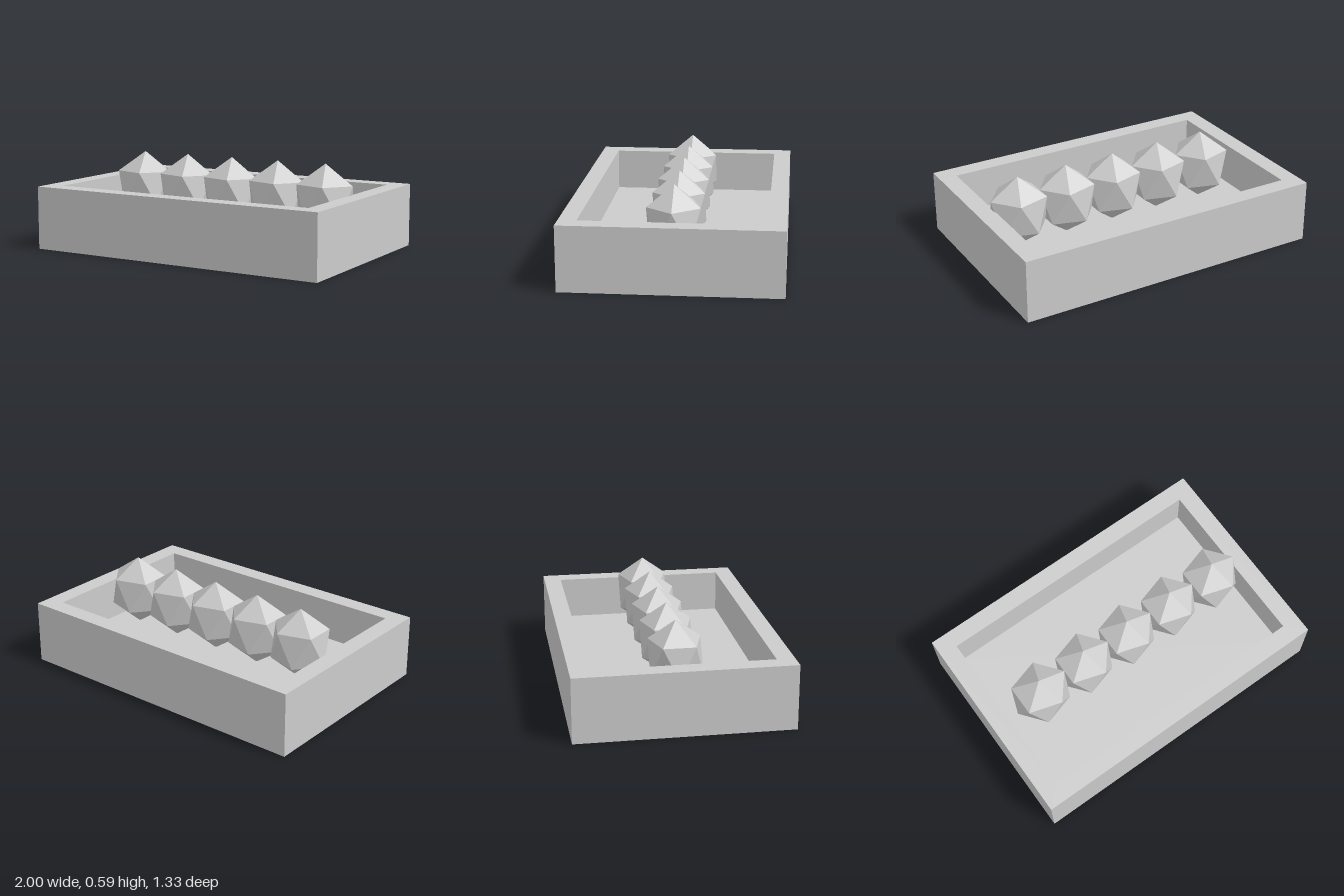
import * as THREE from 'three';

const material = new THREE.MeshStandardMaterial({ color: 0xcccccc, flatShading: true });

// Open box whose skin runs through rectangular rings [halfX, halfZ, y]: outside, rim, inside
function trayGeometry() {
  const rings = [
    [1, 0.667, 0],
    [1, 0.667, 0.405],
    [0.885, 0.555, 0.405],
    [0.885, 0.555, 0.135],
  ].map(([x, z, y]) => [[x, y, z], [x, y, -z], [-x, y, -z], [-x, y, z]]);

  const positions = [];
  const quad = (a, b, c, d) => positions.push(...a, ...b, ...c, ...a, ...c, ...d);

  for (let r = 0; r < rings.length - 1; r++) {
    for (let i = 0; i < 4; i++) {
      const j = (i + 1) % 4;
      quad(rings[r][i], rings[r][j], rings[r + 1][j], rings[r + 1][i]);
    }
  }
  quad(...[...rings[0]].reverse()); // underside
  quad(...rings[rings.length - 1]); // inner floor

  const geometry = new THREE.BufferGeometry();
  geometry.setAttribute('position', new THREE.Float32BufferAttribute(positions, 3));
  geometry.computeVertexNormals();
  return geometry;
}

// Twenty-sided egg standing on a vertex, slightly stretched
function eggGeometry() {
  const golden = (1 + Math.sqrt(5)) / 2;
  const geometry = new THREE.IcosahedronGeometry(1, 0);
  geometry.rotateZ(-Math.atan(1 / golden));
  geometry.scale(0.207, 0.232, 0.19);
  geometry.computeVertexNormals();
  return geometry;
}

export function createModel() {
  const model = new THREE.Group();
  model.name = 'trayWithEggs';

  const tray = new THREE.Mesh(trayGeometry(), material);
  tray.name = 'tray';
  model.add(tray);

  // Row of eggs, set a little toward the left side
  const eggs = new THREE.Group();
  eggs.name = 'eggs';
  const geometry = eggGeometry();
  for (let i = 0; i < 5; i++) {
    const egg = new THREE.Mesh(geometry, material);
    egg.name = `egg${i + 1}`;
    egg.position.set(0.049 + (i - 2) * 0.334, 0.359, 0);
    eggs.add(egg);
  }
  model.add(eggs);

  return model;
}
